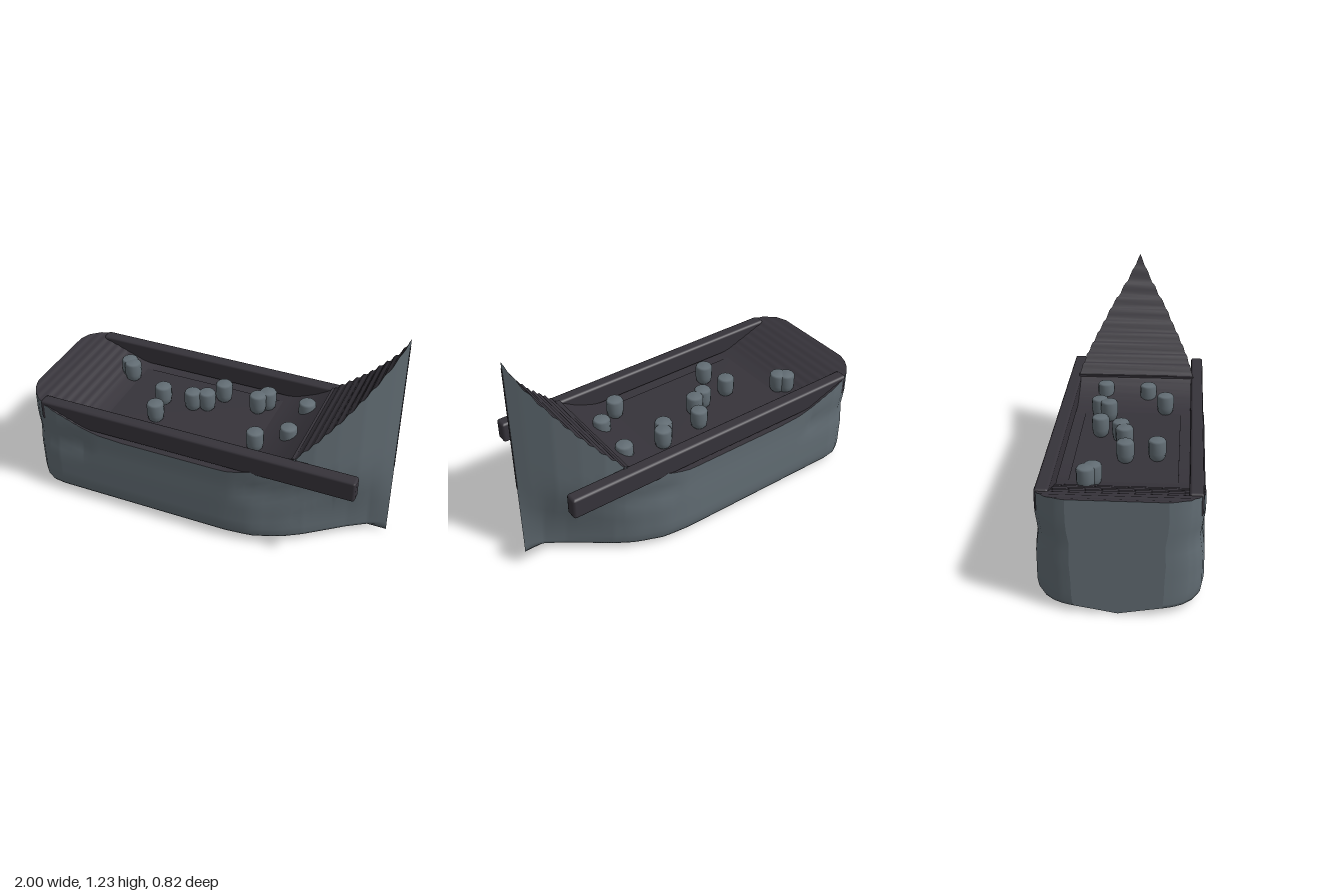
import * as THREE from 'three';
import { RoundedBoxGeometry } from 'three/addons/geometries/RoundedBoxGeometry.js';

const steel = new THREE.MeshStandardMaterial({ color: 0x626d74 });
steel.name = 'hull grey';
const dark = new THREE.MeshStandardMaterial({ color: 0x36333a });
dark.name = 'deck charcoal';

// Linear lookup in a table of [x, value] pairs
function lookup(table, x) {
  for (let i = 1; i < table.length; i++) {
    const [x0, v0] = table[i - 1], [x1, v1] = table[i];
    if (x <= x1) return v0 + (v1 - v0) * (x - x0) / (x1 - x0);
  }
  return table[table.length - 1][1];
}

// Height of the deck edge along the ship
const SHEER = [[-1, 0.61], [-0.9, 0.592], [-0.83, 0.57], [-0.63, 0.495], [-0.55, 0.475], [-0.4, 0.465],
  [0.2, 0.465], [0.34, 0.495], [0.45, 0.54], [0.55, 0.6], [0.65, 0.705], [0.77, 0.845], [0.88, 1.0], [0.95, 1.115], [1, 1.23]];
// Half width at the deck edge and at the bottom
const TOP_WIDTH = [[-1, 0.24], [-0.985, 0.29], [-0.96, 0.335], [-0.92, 0.375], [-0.87, 0.4], [-0.8, 0.41], [0.25, 0.41],
  [0.35, 0.4], [0.45, 0.375], [0.55, 0.345], [0.65, 0.3], [0.75, 0.235], [0.85, 0.158], [0.95, 0.057], [1, 0.002]];
const LOW_WIDTH = [[-1, 0.22], [-0.985, 0.275], [-0.96, 0.325], [-0.92, 0.37], [-0.87, 0.4], [-0.8, 0.41], [0.2, 0.41],
  [0.35, 0.395], [0.5, 0.335], [0.6, 0.27], [0.7, 0.19], [0.8, 0.11], [0.9, 0.042], [1, 0.002]];

// Sheer with the small steps of the fore and aft decks
function deckHeight(x) {
  const bow = x > 0.56 && x < 0.995 ? 0.007 : 0;
  const stern = x < -0.66 && x > -0.99 ? 0.002 : 0;
  return lookup(SHEER, x) + (bow + stern) * Math.sin(x * Math.PI * 2 / 0.045);
}

// One side of a cross-section, from keel to deck edge
function halfSection(x) {
  const top = deckHeight(x), wt = lookup(TOP_WIDTH, x), wl = lookup(LOW_WIDTH, x);
  const pinch = 0.015 * (x < -0.6 || (x > 0.3 && x < 0.75) ? 1 : 0.2) * Math.min(1, wt / 0.3);
  const pts = [[0, 0], [0.02, wl * 0.5], [0.037, wl * 0.95], [0.055, wl * 0.98], [0.1, wl]];
  const steps = 9;
  for (let k = 1; k <= steps; k++) {
    const t = k / steps;
    const y = 0.1 + (top - 0.1) * t;
    const blend = Math.min(1, (y - 0.1) / 0.4);
    const dip = pinch * Math.max(0, 1 - Math.abs(y - 0.37) / 0.1);
    pts.push([y, wl + (wt - wl) * blend * blend * (3 - 2 * blend) - dip]);
  }
  return pts.map(([y, z]) => new THREE.Vector3(x, y, Math.max(0, z)));
}

const mirror = p => new THREE.Vector3(p.x, p.y, -p.z);

// Skin between rows of points
function loft(rows) {
  const n = rows[0].length, index = [];
  for (let i = 0; i < rows.length - 1; i++) {
    for (let j = 0; j < n - 1; j++) {
      const a = i * n + j, b = a + n;
      index.push(a, b, b + 1, a, b + 1, a + 1);
    }
  }
  const geo = new THREE.BufferGeometry().setFromPoints(rows.flat());
  geo.setIndex(index);
  geo.computeVertexNormals();
  return geo;
}

export function createModel() {
  const model = new THREE.Group();
  model.name = 'ship';
  const add = (name, geo, mat, x = 0, y = 0, z = 0) => {
    const mesh = new THREE.Mesh(geo, mat);
    mesh.name = name;
    mesh.position.set(x, y, z);
    model.add(mesh);
    return mesh;
  };

  // Stations along the ship, closer at both ends
  const stations = [];
  for (let i = 0; i < 36; i++) stations.push(-1 + i * 0.01);
  for (let i = 0; i < 24; i++) stations.push(-0.64 + i * 0.05);
  for (let i = 0; i <= 45; i++) stations.push(0.55 + i * 0.01);
  const halves = stations.map(halfSection);

  // Hull sides and bottom
  add('hull', loft(halves.map(h => [...h.slice(1).reverse().map(mirror), ...h])), steel);
  // Flat stern
  add('transom', loft([halves[0].map(mirror), halves[0]]), steel);
  // Deck following the sheer
  add('deck', loft(halves.map(h => {
    const edge = h[h.length - 1];
    return [edge, mirror(edge)];
  })), dark);

  // Raised middle deck, forward beam and stem strip
  add('middleDeck', new THREE.BoxGeometry(0.97, 0.04, 0.55), dark, -0.145, 0.462, 0);
  add('foredeckBeam', new THREE.BoxGeometry(0.025, 0.02, 0.68), dark, 0.555, 0.597, 0);
  add('stemStrip', new THREE.BoxGeometry(0.006, 0.74, 0.009), dark, 0.997, 0.82, 0);

  // Side rails
  for (const side of [1, -1]) {
    add(side > 0 ? 'frontRail' : 'backRail', new RoundedBoxGeometry(1.79, 0.12, 0.07, 1, 0.014), dark, 0, 0.54, side * 0.364);
  }

  // Deck posts, rounded at the foot
  const profile = [[0, 0], [0.03, 0.004], [0.043, 0.02], [0.048, 0.05], [0.048, 0.11], [0.04, 0.12], [0, 0.122]]
    .map(([r, y]) => new THREE.Vector2(r, y));
  const postGeo = new THREE.LatheGeometry(profile, 12);
  const spots = [[-0.64, -0.18], [-0.605, -0.15], [-0.34, -0.005], [-0.31, 0.16], [-0.165, -0.02], [-0.09, -0.045],
    [-0.035, -0.16], [0.18, -0.13], [0.22, -0.185], [0.285, 0.185], [0.435, 0.08], [0.455, -0.17]];
  for (const [x, z] of spots) add('deckPost', postGeo, steel, x, 0.477, z);

  return model;
}
